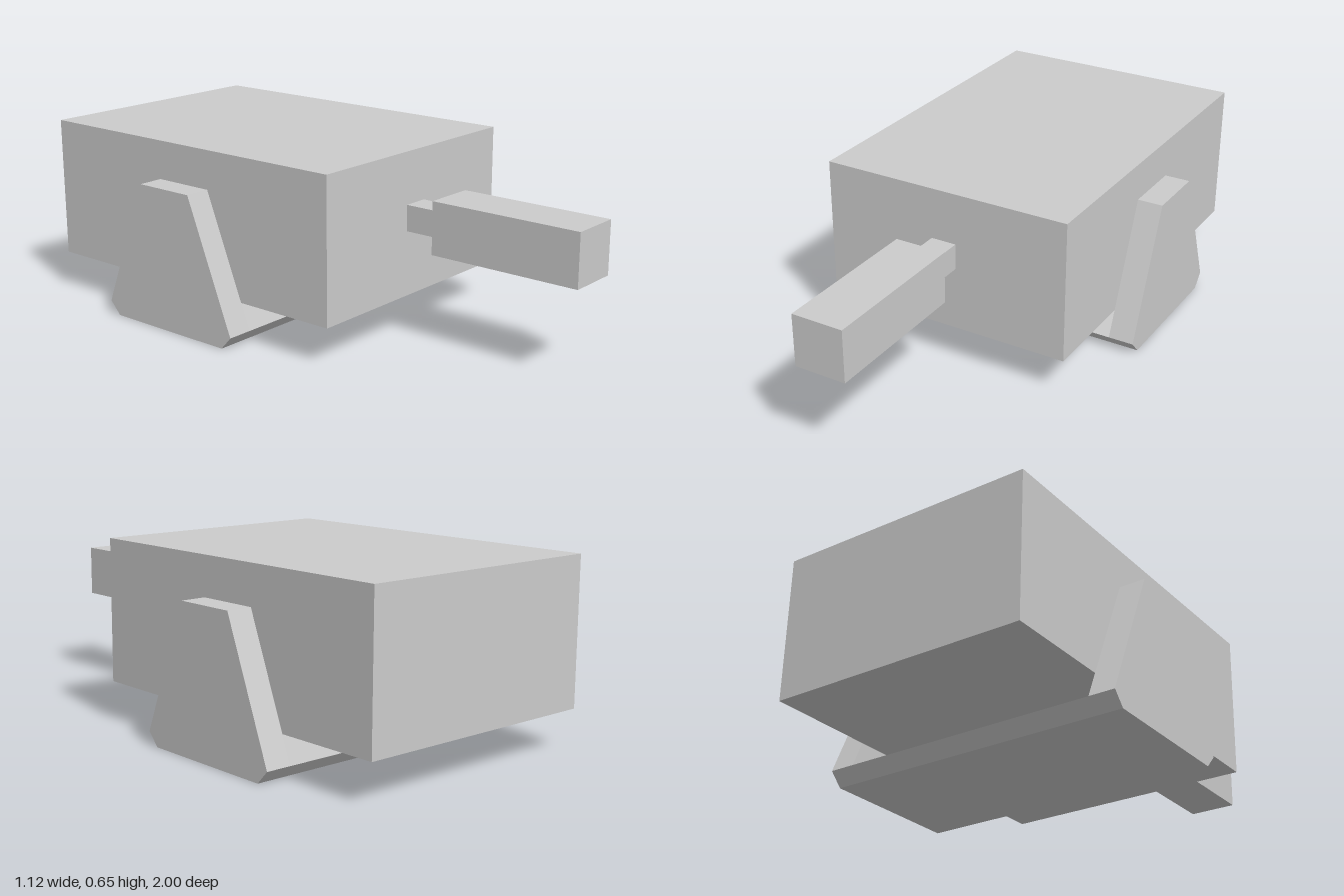
import * as THREE from 'three';

const material = new THREE.MeshStandardMaterial({ color: 0xcccccc, flatShading: true });

// Box given by its minimum and maximum corners
function box(name, min, max) {
  const size = max.map((v, i) => v - min[i]);
  const mesh = new THREE.Mesh(new THREE.BoxGeometry(...size), material);
  mesh.position.set(...max.map((v, i) => (v + min[i]) / 2));
  mesh.name = name;
  return mesh;
}

// Profile in (z, y), extruded across x between x0 and x1
function sidePlate(name, points, x0, x1) {
  const shape = new THREE.Shape(points.map(([z, y]) => new THREE.Vector2(z, y)));
  const geometry = new THREE.ExtrudeGeometry(shape, { depth: x1 - x0, bevelEnabled: false });
  geometry.rotateY(-Math.PI / 2).translate(x1, 0, 0);
  const mesh = new THREE.Mesh(geometry, material);
  mesh.name = name;
  return mesh;
}

export function createModel() {
  const model = new THREE.Group();
  model.name = 'turret';

  // Housing and stepped barrel
  model.add(box('housing', [-0.465, 0.14, -1], [0.465, 0.652, 0.302]));
  model.add(box('barrelNeck', [-0.047, 0.373, 0.302], [0.047, 0.466, 0.442]));
  model.add(box('barrel', [-0.093, 0.327, 0.442], [0.093, 0.513, 1]));

  // U-shaped mount: chamfered floor plate and two tapered cheeks
  const mount = new THREE.Group();
  mount.name = 'mount';
  const frontEdge = -0.047, backEdge = -0.651, lip = 0.047;
  mount.add(sidePlate('mountFloor',
    [[backEdge, lip], [-0.607, 0], [-0.09, 0], [frontEdge, lip]], -0.558, 0.558));
  const cheek = [[backEdge, lip], [frontEdge, lip], [-0.233, 0.513], [-0.465, 0.513]];
  mount.add(sidePlate('leftCheek', cheek, 0.465, 0.558));
  mount.add(sidePlate('rightCheek', cheek, -0.558, -0.465));
  model.add(mount);

  return model;
}
